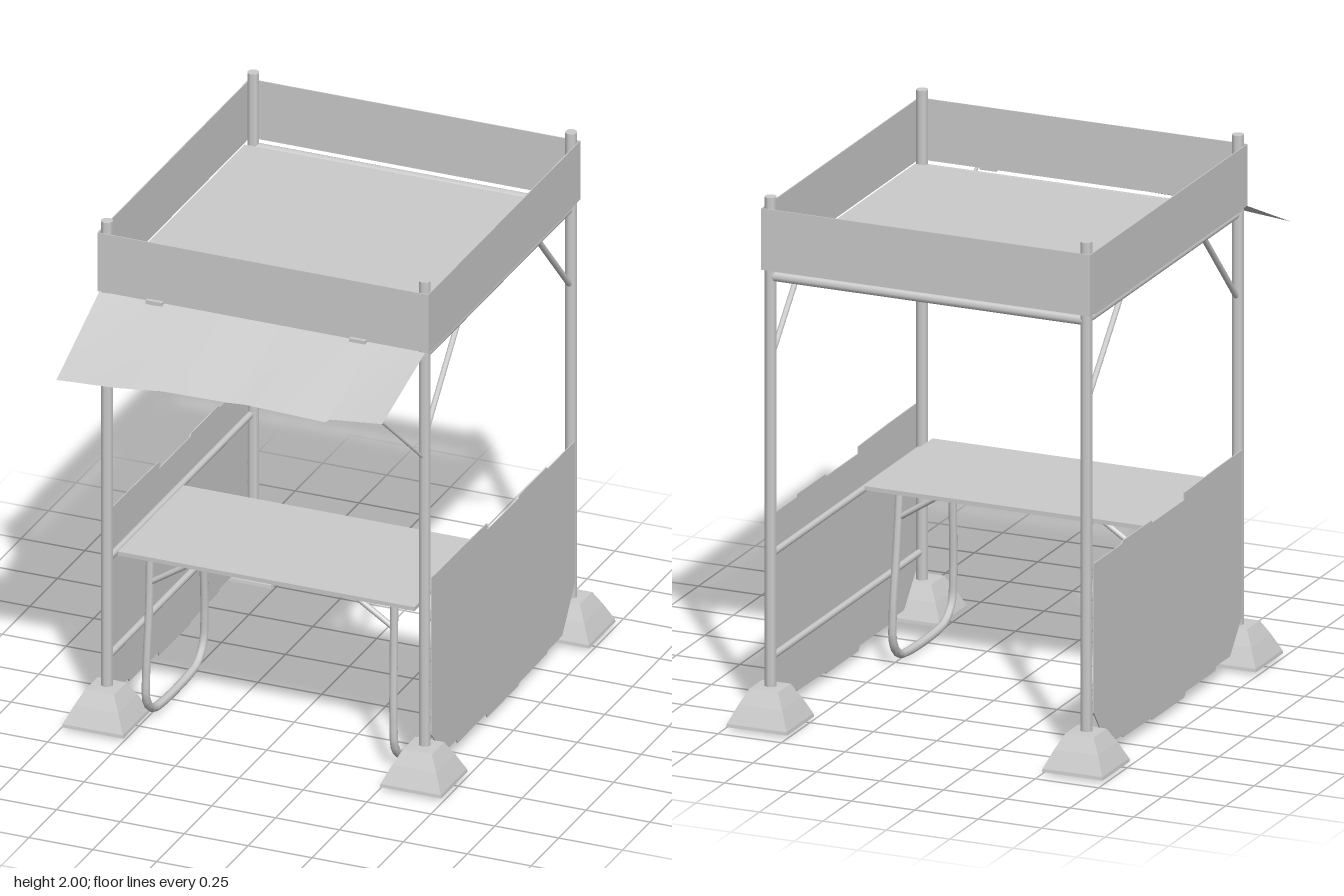
import * as THREE from 'three';

const mat = new THREE.MeshStandardMaterial({ color: 0xcccccc, side: THREE.DoubleSide });
const flat = new THREE.MeshStandardMaterial({ color: 0xcccccc, side: THREE.DoubleSide, flatShading: true });
const V = (x, y, z) => new THREE.Vector3(x, y, z);

export function createModel() {
  const group = new THREE.Group();
  const add = (name, geo, material = mat) => {
    const mesh = new THREE.Mesh(geo, material);
    mesh.name = name;
    group.add(mesh);
    return mesh;
  };
  // Box given by its lower and upper corners
  const box = (name, a, b) => add(name, new THREE.BoxGeometry(b[0] - a[0], b[1] - a[1], b[2] - a[2])
    .translate((a[0] + b[0]) / 2, (a[1] + b[1]) / 2, (a[2] + b[2]) / 2));
  // Straight round bar between two points
  const bar = (name, a, b, r, sides = 8) => {
    const d = b.clone().sub(a);
    const mesh = add(name, new THREE.CylinderGeometry(r, r, d.length(), sides));
    mesh.position.copy(a).add(b).multiplyScalar(0.5);
    mesh.quaternion.setFromUnitVectors(V(0, 1, 0), d.normalize());
  };

  const PX = 0.622, ZF = 0.508, ZB = -0.822;

  // Corner posts standing in hollow pyramid feet
  const foot = [[0.12, 0.01], [0.118, 0.022], [0.086, 0.09], [0.056, 0.145], [0, 0.147]]
    .map(([r, y]) => new THREE.Vector2(r * Math.SQRT2, y));
  for (const x of [-PX, PX]) {
    for (const z of [ZF, ZB]) {
      bar('post', V(x, 0.01, z), V(x, 2, z), 0.023);
      add('foot', new THREE.LatheGeometry(foot, 4).rotateY(Math.PI / 4), flat)
        .position.set(x, 0, z + (z > 0 ? 0.01 : -0.005));
    }
  }

  // Roof sheet and the frame under it
  box('roofSheet', [-0.642, 1.715, -0.79], [0.642, 1.721, 0.49]);
  for (const z of [ZF, ZB]) bar('crossRail', V(-PX, 1.7, z), V(PX, 1.7, z), 0.02);
  for (const x of [-PX, PX]) bar('sideRail', V(x, 1.7, ZB), V(x, 1.7, ZF), 0.014);

  // Fascia boards around the roof
  for (const z of [0.533, -0.845]) box('fascia', [-0.648, 1.725, z - 0.002], [0.648, 1.958, z + 0.002]);
  for (const x of [-0.646, 0.646]) box('sideFascia', [x - 0.002, 1.725, -0.845], [x + 0.002, 1.958, 0.533]);

  // Diagonal braces between posts and side rails
  for (const x of [-PX, PX]) {
    bar('roofBrace', V(x, 1.39, 0.495), V(x, 1.695, 0.21), 0.011);
    bar('roofBrace', V(x, 1.4, -0.805), V(x, 1.695, -0.525), 0.011);
  }

  // Awning flap with a ragged, sagging front edge: x, y, z of the edge
  const edge = [[-0.64, 1.545, 0.925], [-0.4, 1.568, 0.945], [-0.22, 1.585, 0.937], [0.03, 1.585, 0.93],
    [0.1, 1.59, 0.93], [0.2, 1.595, 0.945], [0.42, 1.588, 0.945], [0.43, 1.592, 0.925], [0.635, 1.613, 0.925]];
  const flap = new THREE.PlaneGeometry(1, 1, edge.length - 1, 1);
  edge.forEach(([x, y, z], i) => {
    flap.attributes.position.setXYZ(i, x, 1.724, 0.536);
    flap.attributes.position.setXYZ(i + edge.length, x, y, z);
  });
  flap.computeVertexNormals();
  add('awning', flap);
  for (const x of [-0.42, 0.375]) box('hinge', [x - 0.032, 1.717, 0.534], [x + 0.032, 1.733, 0.55]);
  bar('awningStrut', V(0.62, 1.305, 0.53), V(0.558, 1.615, 0.855), 0.006, 6);

  // Worn side panels, outline as z and y, with two inner rails each
  const outline = [[0.495, 0.81], [0.25, 0.808], [-0.01, 0.802], [-0.01, 0.775], [-0.29, 0.775], [-0.3, 0.785],
    [-0.55, 0.785], [-0.56, 0.775], [-0.805, 0.775], [-0.805, 0.21], [-0.69, 0.05], [-0.56, 0.05],
    [-0.55, 0.04], [-0.3, 0.036], [-0.29, 0.027], [-0.01, 0.027], [0, 0.045], [0.26, 0.045],
    [0.27, 0.06], [0.39, 0.06], [0.495, 0.18]].map(([z, y]) => new THREE.Vector2(-z, y));
  for (const s of [-1, 1]) {
    const panel = new THREE.ExtrudeGeometry(new THREE.Shape(outline), { depth: 0.004, bevelEnabled: false });
    add('sidePanel', panel.rotateY(Math.PI / 2)).position.x = s * 0.642 - 0.002;
    for (const y of [0.25, 0.64]) bar('panelRail', V(s * 0.626, y, ZB), V(s * 0.626, y, ZF), 0.013);
  }

  // Folding table: top, looped legs and leg braces
  box('tableTop', [-0.58, 0.668, -0.09], [0.58, 0.684, 0.505]);
  for (const s of [-1, 1]) {
    const loop = new THREE.CatmullRomCurve3([[0.67, 0.45, 0.478], [0.45, 0.458, 0.479], [0.2, 0.472, 0.484],
      [0.09, 0.465, 0.486], [0.035, 0.41, 0.486], [0.02, 0.33, 0.486], [0.02, 0.08, 0.486], [0.035, 0, 0.486],
      [0.09, -0.05, 0.486], [0.2, -0.058, 0.484], [0.45, -0.035, 0.479], [0.67, -0.01, 0.478]]
      .map(([y, z, x]) => V(s * x, y, z)));
    add('tableLeg', new THREE.TubeGeometry(loop, 48, 0.016, 8));
    for (const z of [0.452, -0.02]) bar('legBrace', V(s * 0.474, 0.56, z), V(s * 0.305, 0.67, z), 0.011);
  }
  return group;
}
